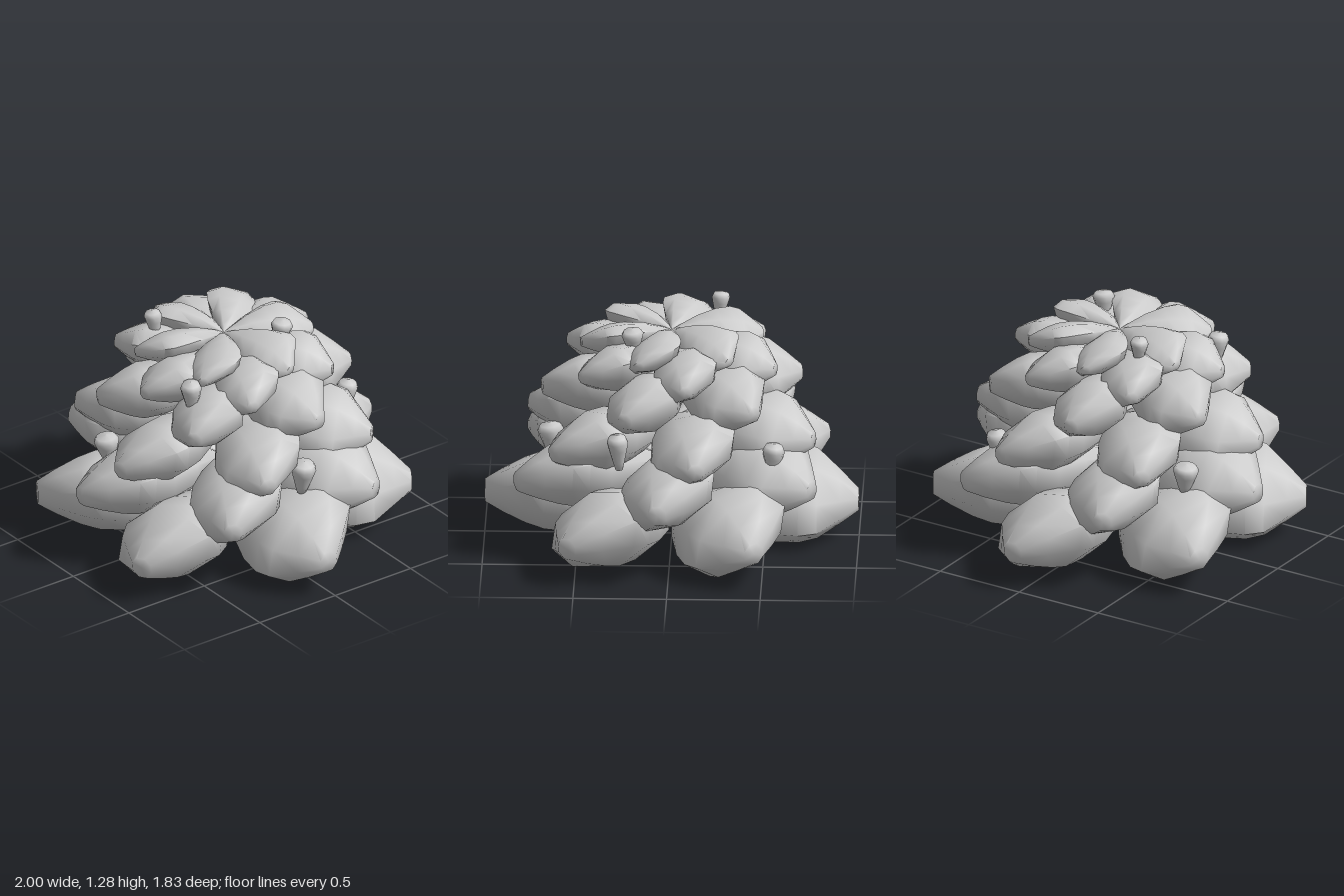
import * as THREE from 'three';
import { toCreasedNormals } from 'three/addons/utils/BufferGeometryUtils.js';

const material = new THREE.MeshStandardMaterial({ color: 0xcccccc, side: THREE.DoubleSide });
const rad = THREE.MathUtils.degToRad;

// Cone scale lofted along +x: pinched at the axis, broad shoulders, straight taper to a small tip.
// Stations: fraction of length, width factor, thickness factor, sideways shift of the middle.
const STATIONS = [[0, 0.01, 0.01, 0], [0.1, 0.2, 0.32, 0], [0.3, 0.58, 0.76, 0], [0.52, 0.9, 1, 0],
  [0.68, 1.03, 1.02, 0], [0.78, 0.95, 0.86, 0.02], [0.9, 0.54, 0.58, 0.09], [1, 0.18, 0.3, 0.15]];
const SIDES = 8;
// Each scale is rolled so its neighbours overlap like a spiral
const ROLL = rad(26);

// dip raises or lowers the inner end of the scale
function scaleGeometry(length, halfWidth, halfThick, dip) {
  const pos = [], index = [];
  const cos = Math.cos(ROLL), sin = Math.sin(ROLL);
  for (const [t, w, h, shift] of STATIONS) {
    const base = dip * Math.max(0, 1 - t / 0.68);
    for (let j = 0; j < SIDES; j++) {
      const a = (j / SIDES) * Math.PI * 2;
      const v = Math.cos(a) * h * halfThick, u = (Math.sin(a) * w + shift) * halfWidth;
      pos.push(t * length, base + v * cos - u * sin, v * sin + u * cos);
    }
  }
  const last = STATIONS.length - 1;
  for (let i = 0; i < last; i++) {
    for (let j = 0; j < SIDES; j++) {
      const k = (j + 1) % SIDES;
      const a = i * SIDES + j, b = i * SIDES + k, c = b + SIDES, d = a + SIDES;
      index.push(a, b, c, a, c, d);
    }
  }
  // Tip cap
  const tip = STATIONS[last][3] * halfWidth;
  pos.push(length, -tip * sin, tip * cos);
  for (let j = 0; j < SIDES; j++) {
    index.push((last + 1) * SIDES, last * SIDES + j, last * SIDES + (j + 1) % SIDES);
  }
  const g = new THREE.BufferGeometry();
  g.setAttribute('position', new THREE.Float32BufferAttribute(pos, 3));
  g.setIndex(index);
  return toCreasedNormals(g, rad(65));
}

// Tiers from the bottom up: height, reach, half width, half thickness, inner dip, turn in degrees
const TIERS = [
  [0.235, 1.0, 0.315, 0.208, -0.09, 0],
  [0.45, 0.91, 0.275, 0.185, -0.04, 29],
  [0.655, 0.81, 0.25, 0.165, 0, 43],
  [0.89, 0.7, 0.215, 0.15, 0, 13],
  [1.03, 0.6, 0.19, 0.122, 0, 41],
  [1.125, 0.49, 0.17, 0.082, 0.03, 13],
];

// Seeds: x, y, z of the middle, height, radius
const SEEDS = [
  [-0.25, 1.19, 0.28, 0.16, 0.05],
  [0.2, 1.17, -0.23, 0.15, 0.06],
  [0.29, 1.03, 0.43, 0.2, 0.058],
  [-0.26, 0.52, 0.58, 0.17, 0.07],
  [0.64, 0.54, -0.05, 0.2, 0.07],
  [0.27, 0.68, -0.61, 0.21, 0.058],
  [-0.55, 0.57, -0.42, 0.2, 0.06],
];

// Teardrop seed, narrow at the bottom with a rounded head
function seedGeometry(height, radius) {
  const profile = [[0, -0.5], [0.35, -0.47], [0.55, -0.25], [0.85, 0.1], [1, 0.3], [0.8, 0.44], [0, 0.5]];
  return new THREE.LatheGeometry(profile.map(([r, y]) => new THREE.Vector2(r * radius, y * height)), 10);
}

export function createModel() {
  const model = new THREE.Group();
  model.name = 'pineCone';

  TIERS.forEach(([y, reach, width, thick, dip, turn], n) => {
    const tier = new THREE.Group();
    tier.name = `scaleTier${n + 1}`;
    const geometry = scaleGeometry(reach, width, thick, dip);
    for (let i = 0; i < 6; i++) {
      const scale = new THREE.Mesh(geometry, material);
      scale.name = 'scale';
      scale.rotation.y = rad(turn + i * 60);
      tier.add(scale);
    }
    tier.position.y = y;
    model.add(tier);
  });

  // Seeds caught between the scales, heads leaning outward
  for (const [x, y, z, height, radius] of SEEDS) {
    const seed = new THREE.Mesh(seedGeometry(height, radius), material);
    seed.name = 'seed';
    seed.position.set(x, y, z);
    seed.rotation.set(0.12, Math.atan2(x, z), 0, 'YXZ');
    model.add(seed);
  }

  // Rest on the ground
  const lift = -new THREE.Box3().setFromObject(model, true).min.y;
  for (const part of model.children) part.position.y += lift;
  return model;
}
